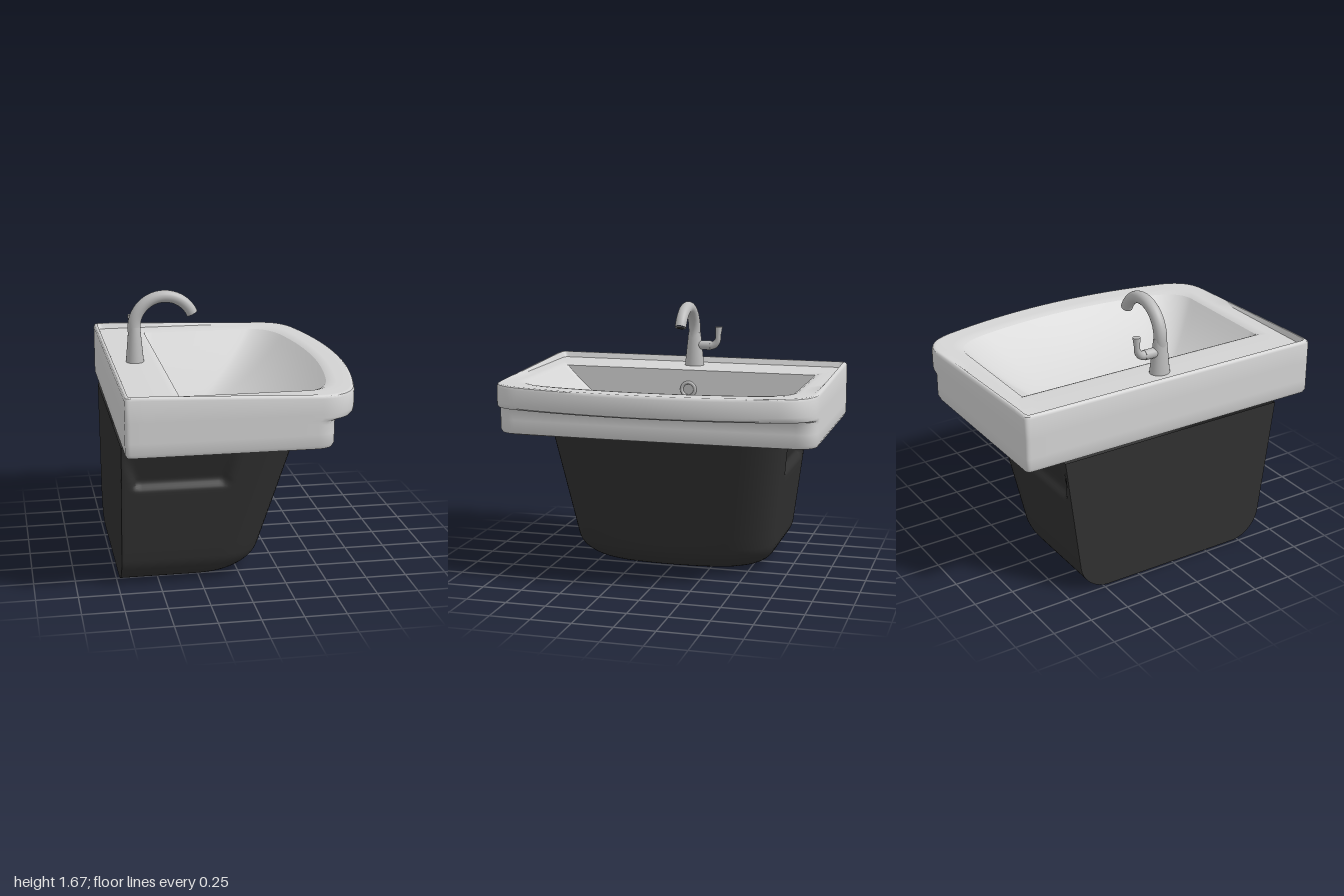
import * as THREE from 'three';
import { toCreasedNormals } from 'three/addons/utils/BufferGeometryUtils.js';

const { lerp, clamp, smoothstep } = THREE.MathUtils;
const BACK = -0.73;

const material = (name, color, side = THREE.FrontSide) => {
  const m = new THREE.MeshStandardMaterial({ color, side });
  m.name = name;
  return m;
};

// Surface through rows of [x, y, z] points
function loft(rows, crease = 0.7) {
  const cols = rows[0].length, index = [];
  for (let r = 0; r < rows.length - 1; r++) {
    for (let c = 0; c < cols - 1; c++) {
      const a = r * cols + c, d = a + cols;
      index.push(a, a + 1, d, a + 1, d + 1, d);
    }
  }
  const g = new THREE.BufferGeometry();
  g.setAttribute('position', new THREE.Float32BufferAttribute(rows.flat(2), 3));
  g.setIndex(index);
  return toCreasedNormals(g, crease);
}

// Plan outline [x, z]: straight back and sides, soft corners, bowed front.
// x0 back, xf front, w half width, rb back corner, rx/rz front corner, bow front bulge
function halfOutline({ x0, xf, w, rb, rx, rz, bow }, sideSteps = 12) {
  const pts = [], we = w - rz, xe = xf - bow, slope = 2 * bow / we;
  const quad = (p, q, r, n) => {
    for (let i = 0; i < n; i++) {
      const t = i / n, u = 1 - t;
      pts.push([0, 1].map(k => u * u * p[k] + 2 * u * t * q[k] + t * t * r[k]));
    }
  };
  const line = (p, q, n) => quad(p, [(p[0] + q[0]) / 2, (p[1] + q[1]) / 2], q, n);
  line([x0, 0], [x0, w - rb], 10);
  quad([x0, w - rb], [x0, w], [x0 + rb, w], 6);
  line([x0 + rb, w], [xe - rx, w], sideSteps);
  quad([xe - rx, w], [xe - slope * rz, w], [xe, we], 14);
  for (let i = 0; i <= 14; i++) {
    const t = 1 - i / 14;
    pts.push([xf - bow * t * t, we * t]);
  }
  return pts;
}
function outline(o, inset = 0, sideSteps) {
  const half = halfOutline({ ...o, x0: o.x0 + inset, xf: o.xf - inset, w: o.w - inset }, sideSteps);
  return [...half, ...half.slice(0, -1).reverse().map(([x, z]) => [x, -z])];
}

const LOWER = { x0: BACK, xf: 0.505, w: 1, rb: 0.03, rx: 0.12, rz: 0.12, bow: 0.015 };
const UPPER = { x0: BACK, xf: 0.73, w: 1, rb: 0.03, rx: 0.23, rz: 0.2, bow: 0.1 };
const BOWL = { x0: -0.4, xf: 0.57, w: 0.84, rb: 0.004, rx: 0.2, rz: 0.24, bow: 0.06 };
const UNDER = { x0: -0.6, xf: 0.25, w: 0.6, rb: 0.03, rx: 0.1, rz: 0.1, bow: 0.01 };
const DECK = 1.23;
const rimY = x => 1.266 - 0.035 * clamp((x + 0.6) / 1, 0, 1);
const bowlY = s => 0.81 + (DECK - 0.012 - 0.81) * Math.pow(s, 2.3);

// Ceramic shell: underside, outer wall, overhanging front lip, raised edge and deck
function basinShell() {
  const rows = [];
  const ring = (pts, y) => rows.push(pts.map(([x, z]) => [x, typeof y === 'function' ? y(x) : y, z]));
  ring(outline(UNDER), 0.907);
  for (const [i, y] of [[0.03, 0.907], [0.009, 0.914], [0, 0.935], [0, 1.0]]) ring(outline(LOWER, i), y);
  const low = outline(LOWER), up = outline(UPPER);
  for (const [t, y] of [[0, 1.055], [0.07, 1.075], [0.3, 1.08], [0.85, 1.088], [0.96, 1.098], [1, 1.12]]) {
    ring(low.map(([x, z], k) => [lerp(x, up[k][0], t), lerp(z, up[k][1], t)]), y);
  }
  for (const [i, d] of [[0, 0.02], [0.005, 0.005], [0.013, 0], [0.022, 0]]) ring(outline(UPPER, i), x => rimY(x) - d);
  ring(outline(UPPER, 0.036), DECK);
  ring(outline(BOWL, -0.05), DECK);
  ring(outline(BOWL, -0.02), DECK - 0.003);
  ring(outline(BOWL), DECK - 0.012);
  return loft(rows);
}

// Dish rising from the foot of the upright back wall
function bowlDish() {
  const edge = outline(BOWL).slice(10, -10), rows = [];
  for (let i = 24; i >= 0; i--) {
    const s = i / 24;
    rows.push(edge.map(([x, z]) => [BOWL.x0 + (x - BOWL.x0) * s, bowlY(s), z * s]));
  }
  return loft(rows, 1.2);
}
function bowlBackWall() {
  const zs = Array.from({ length: 49 }, (_, i) => BOWL.w * (1 - i / 24));
  return loft([
    zs.map(z => [BOWL.x0, bowlY(Math.abs(z) / BOWL.w), z]),
    zs.map(z => [BOWL.x0, DECK - 0.012, z]),
  ]);
}

// Tapered pedestal with rounded foot and a grip recess on each side
function pedestal() {
  const R = 0.17, rows = [], back = [], levels = [];
  for (let i = 0; i <= 12; i++) levels.push(R * (1 - Math.cos(i / 12 * Math.PI / 2)));
  for (let y = 0.25; y < 0.6; y += 0.08) levels.push(y);
  for (let y = 0.605; y < 0.7; y += 0.012) levels.push(y);
  for (let y = 0.72; y < 0.9; y += 0.03) levels.push(y);
  levels.push(0.907);
  const ring = (y, w, xf) => {
    const o = { x0: BACK, xf, w, rb: 0.004, rx: Math.min(0.28, (xf - BACK) * 0.4), rz: Math.min(0.3, w * 0.5), bow: Math.min(0.02, w * 0.1) };
    const widen = Math.max(0, y - 0.68) * 0.4;
    const fy = y < 0.68 ? smoothstep(y, 0.61, 0.675) : clamp(1 - (y - 0.68) / 0.19, 0, 1);
    rows.push(outline(o, 0, 36).slice(10, -10).map(([x, z]) => {
      const fx = smoothstep(x, -0.68 - widen, -0.63 - widen * 0.6) * (1 - smoothstep(x, -0.13 + widen * 0.6, -0.07 + widen));
      return [x, y, z - Math.sign(z) * (Math.abs(z) > w * 0.9 ? 0.04 * fx * fy : 0)];
    }));
    back.push([[BACK, y, -w], [BACK, y, w]]);
  };
  ring(0, 0.02, -0.7);
  for (const y of levels) {
    const q = Math.max(0, 1 - y / R), inset = R * (1 - Math.sqrt(1 - q * q));
    ring(y, 0.655 + (y - R) * 0.13 - inset, 0.17 + (y - R) * 0.3 - inset);
  }
  return [loft(rows, 0.6), loft(back)];
}

// Round tube along a path with a radius rule
function taperedTube(curve, radius, steps = 40, sides = 20) {
  const g = new THREE.TubeGeometry(curve, steps, 1, sides, false);
  const p = g.attributes.position, v = new THREE.Vector3();
  for (let i = 0; i < p.count; i++) {
    const t = Math.floor(i / (sides + 1)) / steps, c = curve.getPointAt(t);
    v.fromBufferAttribute(p, i).sub(c).multiplyScalar(radius(t)).add(c);
    p.setXYZ(i, v.x, v.y, v.z);
  }
  return g;
}

export function createModel() {
  const model = new THREE.Group();
  const ceramic = material('ceramic', 0xd4d4d4, THREE.DoubleSide);
  const charcoal = material('charcoal', 0x303030, THREE.DoubleSide);
  const metal = material('brushedMetal', 0xbcbcbc);
  const dark = material('darkOpening', 0x2a2a2a);
  const add = (name, geometry, mat, parent = model) => {
    const m = new THREE.Mesh(geometry, mat);
    m.name = name;
    parent.add(m);
    return m;
  };
  const group = name => {
    const g = new THREE.Group();
    g.name = name;
    model.add(g);
    return g;
  };

  add('basinShell', basinShell(), ceramic);
  add('bowl', bowlDish(), ceramic);
  add('bowlBackWall', bowlBackWall(), ceramic);
  const [body, rear] = pedestal();
  add('pedestal', body, charcoal);
  add('pedestalBack', rear, charcoal);

  // Faucet: tapered column, arched spout and side lever
  const faucet = group('faucet');
  const column = add('faucetColumn', new THREE.CylinderGeometry(0.041, 0.064, 0.22, 24), metal, faucet);
  column.scale.x = 0.88;
  column.position.set(-0.558, 1.338, 0);
  const end = 0.42, arc = [new THREE.Vector3(-0.558, 1.4, 0)];
  for (let i = 0; i <= 16; i++) {
    const a = lerp(Math.PI, end, i / 16);
    arc.push(new THREE.Vector3(-0.37 + 0.19 * Math.cos(a), 1.443 + 0.19 * Math.sin(a), 0));
  }
  add('spout', taperedTube(new THREE.CatmullRomCurve3(arc), t => lerp(0.04, 0.036, t), 60, 24), metal, faucet);
  const tip = arc[arc.length - 1], out = new THREE.Vector3(Math.sin(end), -Math.cos(end), 0);
  for (const [name, r, off, mat] of [['spoutEnd', 0.036, 0, metal], ['spoutOpening', 0.027, 0.002, dark]]) {
    const disc = add(name, new THREE.CircleGeometry(r, 24), mat, faucet);
    disc.quaternion.setFromUnitVectors(new THREE.Vector3(0, 0, 1), out);
    disc.position.copy(tip).addScaledVector(out, off);
  }
  const collar = add('leverCollar', new THREE.CylinderGeometry(0.031, 0.031, 0.09, 20), metal, faucet);
  collar.rotation.x = Math.PI / 2;
  collar.position.set(-0.558, 1.365, -0.065);
  const lever = new THREE.CatmullRomCurve3([[1.365, -0.1], [1.368, -0.13], [1.395, -0.156], [1.44, -0.162], [1.488, -0.165]]
    .map(([y, z]) => new THREE.Vector3(-0.558, y, z)));
  add('lever', taperedTube(lever, t => t < 0.6 ? lerp(0.03, 0.017, t / 0.6) : lerp(0.017, 0.024, (t - 0.6) / 0.4), 24, 16), metal, faucet);
  add('leverTop', new THREE.CylinderGeometry(0.024, 0.024, 0.004, 16), metal, faucet).position.set(-0.558, 1.488, -0.165);

  // Drain: flange, ribbed stem and cap
  const drain = group('drain');
  drain.position.set(-0.15, 0.835, 0);
  const flange = [[0.115, 0], [0.113, 0.018], [0.105, 0.022], [0.075, 0.014], [0, 0.014]];
  add('drainFlange', toCreasedNormals(new THREE.LatheGeometry(flange.map(p => new THREE.Vector2(...p)), 36), 0.6), metal, drain);
  add('drainStem', new THREE.CylinderGeometry(0.05, 0.05, 0.05, 20), metal, drain).position.y = 0.035;
  for (let i = 0; i < 12; i++) {
    const a = i / 12 * Math.PI * 2;
    const rib = add('drainRib', new THREE.BoxGeometry(0.018, 0.04, 0.01), metal, drain);
    rib.position.set(0.053 * Math.cos(a), 0.034, 0.053 * Math.sin(a));
    rib.rotation.y = -a;
  }
  add('drainCap', new THREE.CylinderGeometry(0.07, 0.077, 0.018, 32), metal, drain).position.y = 0.063;

  // Overflow hole on the bowl's back wall
  const overflow = group('overflow');
  overflow.position.set(-0.396, 1.09, 0);
  overflow.rotation.y = Math.PI / 2;
  add('overflowRing', new THREE.TorusGeometry(0.045, 0.011, 10, 28), metal, overflow);
  add('overflowInset', new THREE.CircleGeometry(0.042, 24), metal, overflow);

  return model;
}
